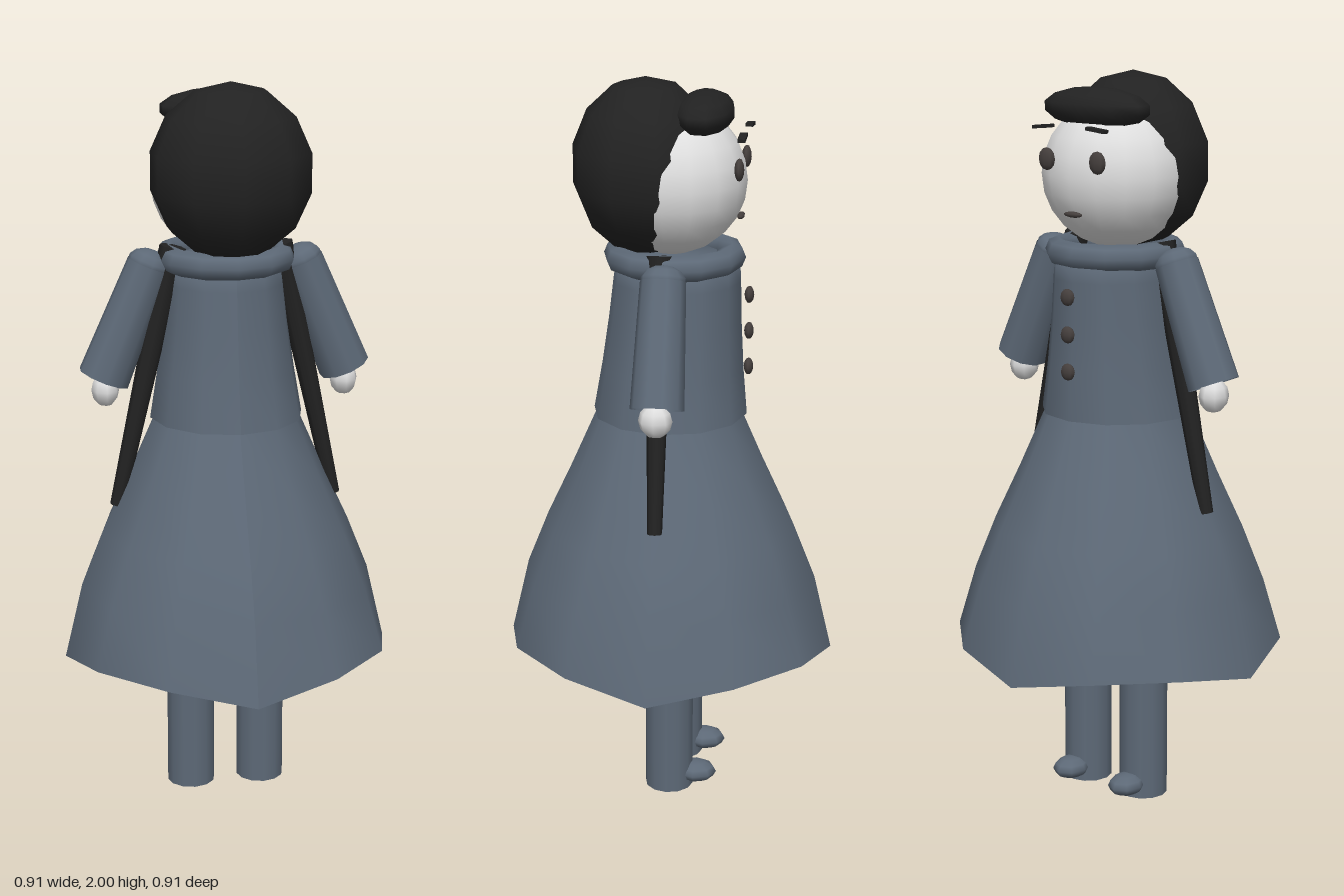
import * as THREE from 'three';

const material = (name, color, side = THREE.FrontSide) => {
  const m = new THREE.MeshStandardMaterial({ color, side });
  m.name = name;
  return m;
};

export function createModel() {
  const group = new THREE.Group();
  const coat = material('slate coat', 0x5d6977, THREE.DoubleSide);
  const hair = material('black hair', 0x222222);
  const skin = material('pale skin', 0xdedede);
  const dark = material('dark brown', 0x453f3d);

  const add = (name, geometry, mat, x = 0, y = 0, z = 0) => {
    const mesh = new THREE.Mesh(geometry, mat);
    mesh.name = name;
    mesh.position.set(x, y, z);
    group.add(mesh);
    return mesh;
  };
  // Ellipsoid with a vertex line on the z axis
  const blob = (rx, ry, rz, w = 10, h = 7) =>
    new THREE.SphereGeometry(1, w, h).rotateY(Math.PI / 2).scale(rx, ry, rz);
  // Tapered limb between two points
  const limb = (name, mat, a, b, ra, rb, open, sides = 10) => {
    const from = new THREE.Vector3(...a), to = new THREE.Vector3(...b);
    const dir = to.clone().sub(from);
    const mesh = add(name, new THREE.CylinderGeometry(rb, ra, dir.length(), sides, 1, open), mat);
    mesh.position.copy(from).add(to).multiplyScalar(0.5);
    mesh.quaternion.setFromUnitVectors(new THREE.Vector3(0, 1, 0), dir.normalize());
    return mesh;
  };
  const lathe = (points) =>
    new THREE.LatheGeometry(points.map(([r, y]) => new THREE.Vector2(r, y)), 12);

  // Head and hair; the face looks toward -z
  add('head', blob(0.202, 0.2, 0.2, 16, 12), skin, 0, 1.735, -0.005);
  add('hair', blob(0.22, 0.235, 0.2), hair, 0, 1.765, 0.065);
  add('fringe', blob(0.17, 0.055, 0.08), hair, 0, 1.91, -0.09);
  add('mouth', blob(0.03, 0.008, 0.01), dark, 0, 1.64, -0.188);

  // Coat bodice, leaning forward a little toward the neck
  const bodice = lathe([[0.21, 1.09], [0.193, 1.22], [0.18, 1.35], [0.172, 1.46], [0.165, 1.53], [0, 1.53]]);
  const bp = bodice.attributes.position;
  for (let i = 0; i < bp.count; i++) {
    const t = (bp.getY(i) - 1.09) / 0.44;
    bp.setX(i, bp.getX(i) * (1 - 0.08 * t));
    bp.setZ(i, bp.getZ(i) - 0.022 * t);
  }
  bodice.computeVertexNormals();
  add('bodice', bodice, coat);
  add('collar', new THREE.TorusGeometry(0.155, 0.036, 8, 12).rotateX(Math.PI / 2), coat, 0, 1.527, -0.012);
  for (let i = 0; i < 3; i++) {
    add('button', blob(0.023, 0.023, 0.013, 8, 6), dark, 0, 1.425 - i * 0.1, -0.213);
  }

  // Flared skirt with a waved hem
  const skirt = lathe([[0.455, 0.41], [0.405, 0.62], [0.345, 0.77], [0.275, 0.92], [0.2, 1.09]]);
  const sp = skirt.attributes.position;
  for (let i = 0; i < sp.count; i++) {
    if (sp.getY(i) < 0.42) {
      const a = Math.atan2(sp.getX(i), sp.getZ(i));
      sp.setY(i, 0.41 + 0.055 * Math.sin(2 * a) ** 2);
    }
  }
  skirt.computeVertexNormals();
  add('skirt', skirt, coat);

  // Paired parts
  for (const s of [-1, 1]) {
    add('eye', blob(0.028, 0.03, 0.013, 8, 6), dark, s * 0.085, 1.78, -0.192);
    add('eyebrow', new THREE.BoxGeometry(0.06, 0.009, 0.02), hair, s * 0.09, 1.865, -0.2)
      .rotation.z = -s * 0.1;

    limb('sleeve', coat, [s * 0.207, 1.51, -0.012], [s * 0.333, 1.203, -0.015], 0.06, 0.071, true);
    add('shoulder', blob(0.06, 0.042, 0.06), coat, s * 0.207, 1.51, -0.012).rotation.z = s * 0.4;
    add('hand', blob(0.038, 0.046, 0.045, 8, 6), skin, s * 0.33, 1.172, -0.01);

    limb('pigtail', hair, [s * 0.145, 1.56, 0.005], [s * 0.303, 0.845, -0.003], 0.036, 0.02, false, 8);

    add('leg', new THREE.CylinderGeometry(0.067, 0.067, 0.5, 12), coat, s * 0.1, 0.25, -0.012);
    add('shoe', blob(0.048, 0.03, 0.06, 8, 6), coat, s * 0.1, 0.042, -0.086);
  }
  return group;
}
